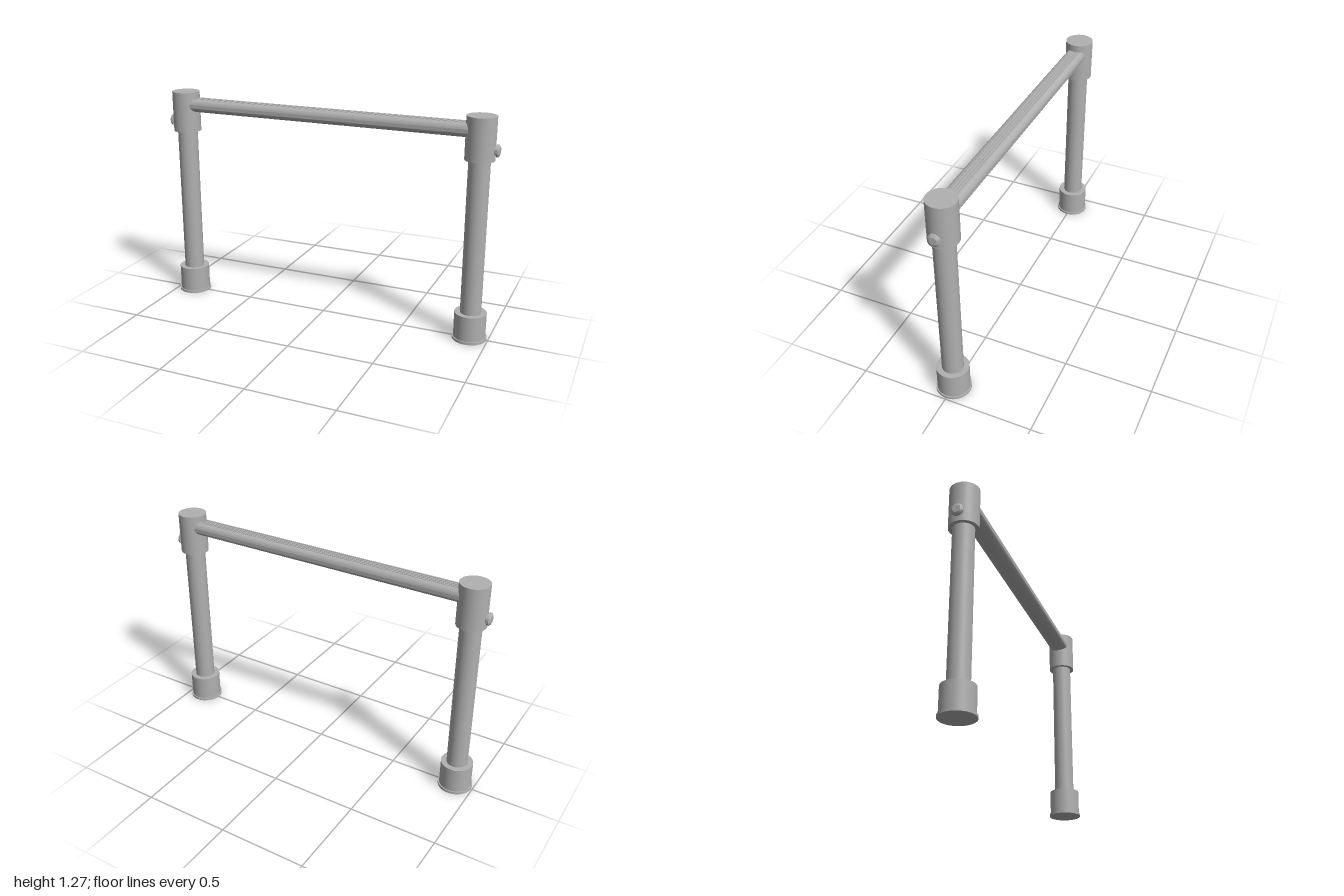
import * as THREE from 'three';
import { toCreasedNormals } from 'three/addons/utils/BufferGeometryUtils.js';

const POST_X = 0.895;

export function createModel() {
  const model = new THREE.Group();
  model.name = 'grabRail';
  const metal = new THREE.MeshStandardMaterial({ color: 0xb0b0b0 });
  metal.name = 'grey metal';

  const add = (parent, name, geometry) => {
    const mesh = new THREE.Mesh(geometry, metal);
    mesh.name = name;
    parent.add(mesh);
    return mesh;
  };

  // Upright cylinder between two heights
  const upright = (parent, name, radius, y0, y1) => {
    add(parent, name, new THREE.CylinderGeometry(radius, radius, y1 - y0, 48)).position.y = (y0 + y1) / 2;
  };

  // Chamfered bolt turned around its own axis
  const boltProfile = [[0, 0], [0.024, 0], [0.024, 0.032], [0.034, 0.032], [0.034, 0.042], [0.022, 0.05], [0, 0.05]]
    .map(([r, y]) => new THREE.Vector2(r, y));
  const boltGeometry = toCreasedNormals(new THREE.LatheGeometry(boltProfile, 32), 0.5);

  // Two matching posts, bolts facing outwards
  for (const side of [1, -1]) {
    const post = new THREE.Group();
    post.name = side > 0 ? 'leftPost' : 'rightPost';
    post.position.x = side * POST_X;
    model.add(post);
    upright(post, 'footFlange', 0.097, 0, 0.014);
    upright(post, 'footSleeve', 0.09, 0.014, 0.16);
    upright(post, 'postTube', 0.059, 0.16, 1.035);
    upright(post, 'topSleeve', 0.081, 1.035, 1.272);
    const bolt = add(post, 'bolt', boltGeometry);
    bolt.position.set(side * 0.055, 1.093, 0);
    bolt.rotation.z = -side * Math.PI / 2;
  }

  // Oval handrail section with shallow grooves along its top
  const section = new THREE.Shape();
  section.moveTo(0.058, 0);
  section.quadraticCurveTo(0.056, 0.032, 0.036, 0.04);
  for (let i = 0; i < 4; i++) {
    const c = 0.024 - i * 0.016;
    section.lineTo(c + 0.002, 0.04);
    section.lineTo(c + 0.002, 0.036);
    section.lineTo(c - 0.002, 0.036);
    section.lineTo(c - 0.002, 0.04);
  }
  section.lineTo(-0.036, 0.04);
  section.quadraticCurveTo(-0.056, 0.032, -0.058, 0);
  section.absellipse(0, 0, 0.058, 0.04, Math.PI, Math.PI * 2, false);

  const length = 2 * POST_X - 0.04;
  const rail = new THREE.ExtrudeGeometry(section, { depth: length, bevelEnabled: false, curveSegments: 20 });
  rail.translate(0, 0, -length / 2);
  rail.rotateY(Math.PI / 2);
  add(model, 'handrail', toCreasedNormals(rail, 0.6)).position.y = 1.192;

  return model;
}
